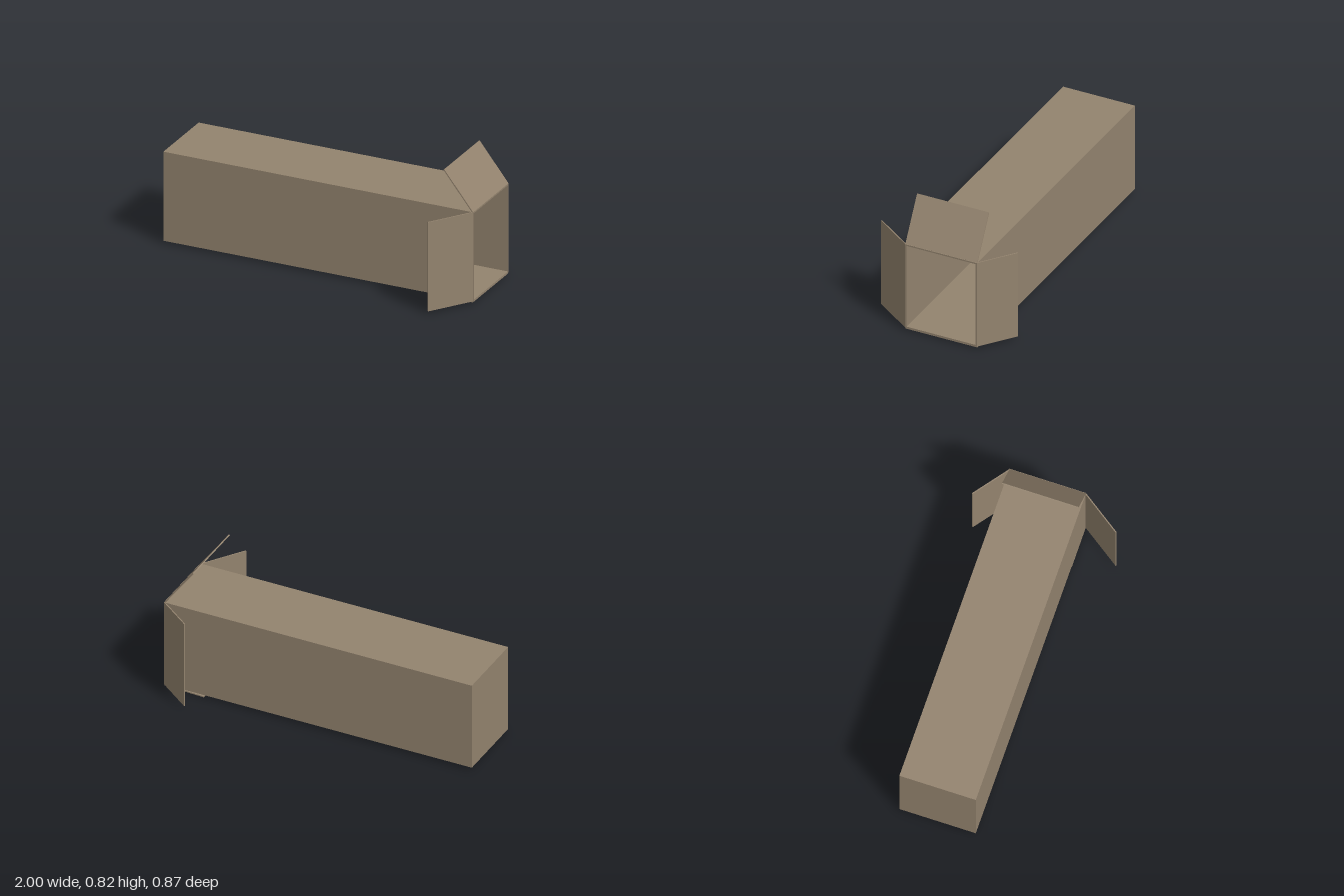
import * as THREE from 'three';

const X0 = -1, X1 = 1;          // closed end, open end
const Y0 = 0.017, Y1 = 0.581;   // underside, top
const Z0 = -0.278, Z1 = 0.19;   // back, front
const T = 0.009;                // board thickness

export function createModel() {
  const group = new THREE.Group();
  group.name = 'openCarton';
  const card = new THREE.MeshStandardMaterial({ color: 0x93836e });

  const add = (name, geometry) => {
    const mesh = new THREE.Mesh(geometry, card);
    mesh.name = name;
    group.add(mesh);
    return mesh;
  };

  // Four walls: a rectangular sleeve running along x
  const rect = (Type, inset) => new Type([
    new THREE.Vector2(-Z1 + inset, Y0 + inset),
    new THREE.Vector2(-Z0 - inset, Y0 + inset),
    new THREE.Vector2(-Z0 - inset, Y1 - inset),
    new THREE.Vector2(-Z1 + inset, Y1 - inset),
  ]);
  const section = rect(THREE.Shape, 0);
  section.holes.push(rect(THREE.Path, T));
  const sleeve = new THREE.ExtrudeGeometry(section, { depth: X1 - X0 - T, bevelEnabled: false });
  sleeve.rotateY(Math.PI / 2).translate(X0 + T, 0, 0);
  add('sleeveWalls', sleeve);

  // Closed end
  const end = new THREE.BoxGeometry(T, Y1 - Y0, Z1 - Z0);
  end.translate(X0 + T / 2, (Y0 + Y1) / 2, (Z0 + Z1) / 2);
  add('closedEnd', end);

  // Flap: a thin slab from the middle of its hinge to the middle of its tip
  const addFlap = (name, hinge, tip, axis, width, thickness) => {
    const out = tip.clone().sub(hinge);
    const normal = axis.clone().cross(out).normalize();
    const slab = new THREE.BoxGeometry(1, thickness, width);
    slab.translate(0.5, 0, 0);
    slab.applyMatrix4(new THREE.Matrix4().makeBasis(out, normal, axis).setPosition(hinge));
    add(name, slab);
  };
  const v = (x, y, z) => new THREE.Vector3(x, y, z);
  const midY = (Y0 + Y1) / 2, midZ = (Z0 + Z1) / 2;
  const yAxis = v(0, 1, 0), zAxis = v(0, 0, 1);
  const height = Y1 - Y0, depth = Z1 - Z0;

  addFlap('topFlap', v(0.995, Y1 - 0.001, midZ), v(0.817, 0.823, midZ + 0.015), zAxis, depth, 0.007);
  addFlap('bottomFlap', v(0.997, 0.0135, midZ), v(0.74, 0.004, midZ), zAxis, depth, 0.007);
  addFlap('frontFlap', v(0.996, midY, Z1 - 0.002), v(0.825, midY, 0.433), yAxis, height, 0.007);
  addFlap('backFlap', v(0.996, midY, Z0 + 0.002), v(0.786, midY, -0.434), yAxis, height, 0.007);

  return group;
}
